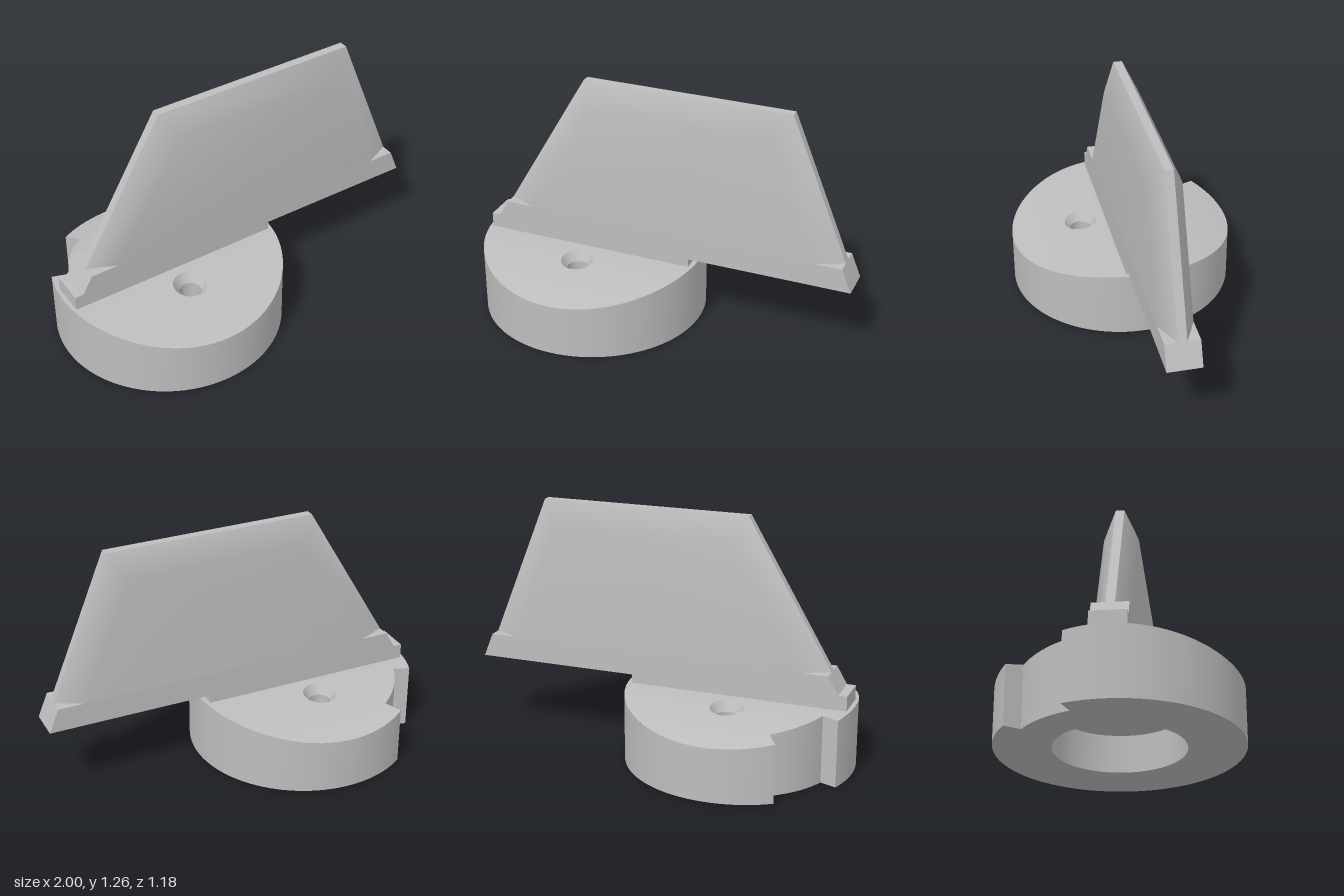
import * as THREE from 'three';
import { toCreasedNormals } from 'three/addons/utils/BufferGeometryUtils.js';

const CX = -0.41, R = 0.588, BORE_R = 0.315, BORE_Y = 0.19;
const HOLE_Z = 0.22, HOLE_R = 0.055, SINK_R = 0.085, SINK_DEPTH = 0.045;
const FIN_Z = 0.087, EDGE_Z = 0.022;

// height of the crowned top of the base
const crown = (z) => 0.355 - 0.08 * (z / R) ** 2;
const rad = THREE.MathUtils.degToRad;

// points (x, z) on an arc around the base axis, angles in degrees
function arc(r, from, to, n, cz = 0) {
  return Array.from({ length: n + 1 }, (_, i) => {
    const a = rad(from + ((to - from) * i) / n);
    return new THREE.Vector2(CX + r * Math.cos(a), cz + r * Math.sin(a));
  });
}
const circle = (r, n, cz = 0) => arc(r, 0, 360, n, cz).slice(0, -1);
const lift = (pts, y) => pts.map((p) => new THREE.Vector3(p.x, typeof y === 'function' ? y(p.y) : y, p.y));

function fromPositions(list) {
  const g = new THREE.BufferGeometry();
  g.setAttribute('position', new THREE.Float32BufferAttribute(list.flatMap((p) => [p.x, p.y, p.z]), 3));
  return g;
}

// closed band of quads between two loops
function wall(low, high, crease = 0.5) {
  const out = [];
  low.forEach((a, i) => {
    const j = (i + 1) % low.length;
    out.push(a, high[i], low[j], low[j], high[i], high[j]);
  });
  const g = fromPositions(out);
  g.computeVertexNormals();
  return toCreasedNormals(g, crease);
}

// flat plate facing down at height y
function plateDown(contour, holes, y) {
  const s = new THREE.Shape(contour);
  s.holes = holes.map((h) => new THREE.Path(h));
  return new THREE.ShapeGeometry(s).rotateX(Math.PI / 2).translate(0, y, 0);
}

// keep the part of a polygon where sign * (z - limit) >= 0
function clip(poly, limit, sign) {
  const out = [];
  poly.forEach((a, i) => {
    const b = poly[(i + 1) % poly.length];
    const da = sign * (a.y - limit), db = sign * (b.y - limit);
    if (da >= 0) out.push(a);
    if (da * db < 0) out.push(a.clone().lerp(b, da / (da - db)));
  });
  return out;
}

// crowned surface: the triangulated outline cut into strips along z
function crownedTop(contour, holes, strips = 20) {
  const pts = [contour, ...holes].flat(), out = [];
  for (const tri of THREE.ShapeUtils.triangulateShape(contour, holes)) {
    const t = tri.map((i) => pts[i]);
    if (THREE.ShapeUtils.area(t) > 0) t.reverse();
    for (let k = 0; k < strips; k++) {
      const z0 = -R + (2 * R * k) / strips;
      const p = clip(clip(t, z0, 1), z0 + (2 * R) / strips, -1);
      for (let i = 1; i + 1 < p.length; i++) out.push(...lift([p[0], p[i], p[i + 1]], crown));
    }
  }
  const g = fromPositions(out);
  const normals = out.flatMap((p) => new THREE.Vector3(0, 1, (0.16 * p.z) / (R * R)).normalize().toArray());
  g.setAttribute('normal', new THREE.Float32BufferAttribute(normals, 3));
  return g;
}

// one face of the fin with bevels on three edges, s = +1 front, -1 back
function finFace(outer, inner, s) {
  const v = [
    ...outer.map((p) => new THREE.Vector3(p.x, p.y, s * EDGE_Z)),
    ...inner.map((p) => new THREE.Vector3(p.x, p.y, s * FIN_Z)),
  ];
  const idx = [4, 5, 6, 4, 6, 7, 5, 1, 2, 5, 2, 6, 6, 2, 3, 6, 3, 7, 7, 3, 0, 7, 0, 4];
  const g = fromPositions(v);
  g.setIndex(s > 0 ? idx : idx.reverse());
  g.computeVertexNormals();
  return g;
}

export function createModel() {
  const model = new THREE.Group();
  const grey = new THREE.MeshStandardMaterial({ color: 0xbdbdbd });
  grey.name = 'grey';
  const add = (parent, name, geometry) => {
    const m = new THREE.Mesh(geometry, grey);
    m.name = name;
    parent.add(m);
  };

  // round base with a notch in the rim
  const base = new THREE.Group();
  base.name = 'base';
  model.add(base);
  const outline = [...arc(R, 236, 560, 90), ...arc(0.5, 200, 236, 10)];
  const sinks = [-HOLE_Z, HOLE_Z].map((z) => circle(SINK_R, 32, z).reverse());
  const drills = [-HOLE_Z, HOLE_Z].map((z) => circle(HOLE_R, 32, z).reverse());
  const bore = circle(BORE_R, 64).reverse();
  add(base, 'baseRim', wall(lift(outline, 0), lift(outline, crown)));
  add(base, 'baseTop', crownedTop(outline, sinks));
  add(base, 'baseUnderside', plateDown(outline, [bore], 0));
  add(base, 'boreWall', wall(lift(bore, 0), lift(bore, BORE_Y)));
  add(base, 'boreCeiling', plateDown([...bore].reverse(), drills, BORE_Y));

  // countersunk screw holes
  drills.forEach((drill, i) => {
    const low = lift(drill, crown(HOLE_Z) - SINK_DEPTH);
    add(base, 'countersink', wall(low, lift(sinks[i], crown)));
    add(base, 'screwHole', wall(lift(drill, BORE_Y), low));
  });

  // full-thickness foot of the fin
  const fin = new THREE.Group();
  fin.name = 'fin';
  model.add(fin);
  const vec = (list) => list.map(([x, y]) => new THREE.Vector2(x, y));
  const foot = new THREE.Shape(vec([
    [-0.975, 0.33], [0.15, 0.33], [0.15, 0.397], [1, 0.397],
    [0.95, 0.52], [-0.877, 0.52], [-0.93, 0.43], [-0.975, 0.43],
  ]));
  add(fin, 'finFoot', new THREE.ExtrudeGeometry(foot, { depth: 2 * FIN_Z, bevelEnabled: false }).translate(0, 0, -FIN_Z));

  // bevelled blade
  const outer = vec([[-0.877, 0.52], [0.95, 0.52], [0.65, 1.26], [-0.44, 1.26]]);
  const inner = vec([[-0.73, 0.52], [0.81, 0.52], [0.56, 1.13], [-0.37, 1.13]]);
  add(fin, 'bladeFront', finFace(outer, inner, 1));
  add(fin, 'bladeBack', finFace(outer, inner, -1));
  const loop = (z) => outer.map((p) => new THREE.Vector3(p.x, p.y, z));
  add(fin, 'bladeEdge', wall(loop(EDGE_Z), loop(-EDGE_Z)));

  return model;
}
